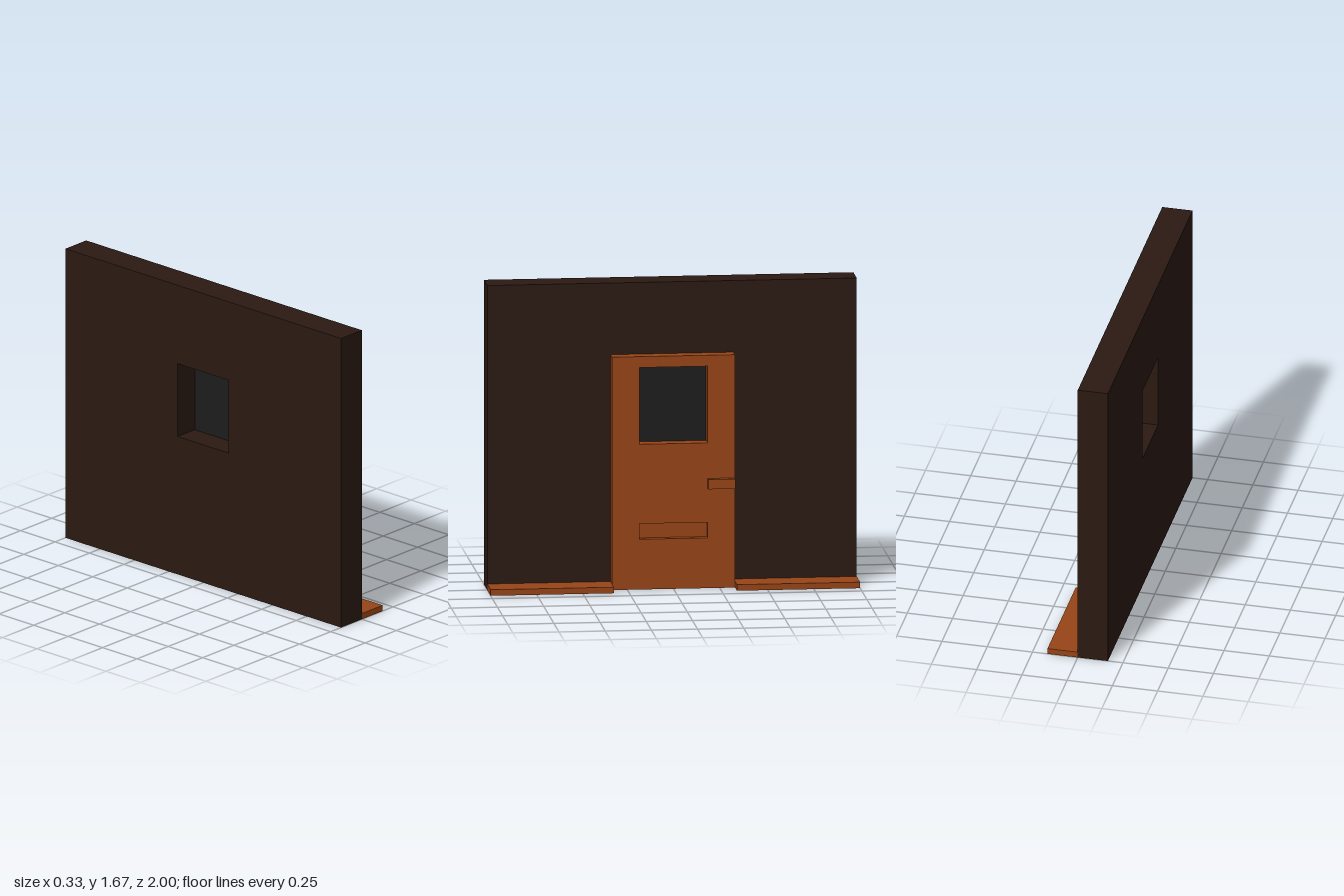
import * as THREE from 'three';

const wood = new THREE.MeshStandardMaterial({ color: 0x984416 });
const brick = new THREE.MeshStandardMaterial({ color: 0x2b1a12 });
const glass = new THREE.MeshStandardMaterial({ color: 0x1c1c1c });

// Openings as [half width in z, bottom, top]
const WINDOW = [0.185, 0.795, 1.215];
const SLOT = [0.185, 0.275, 0.36];

function rectangle(target, [half, bottom, top]) {
  target.moveTo(-half, bottom);
  target.lineTo(half, bottom);
  target.lineTo(half, top);
  target.lineTo(-half, top);
  target.closePath();
  return target;
}

// Upright slab between x0 and x1, with openings cut through it
function slab(name, outline, holes, x0, x1, material) {
  const shape = rectangle(new THREE.Shape(), outline);
  shape.holes = holes.map((h) => rectangle(new THREE.Path(), h));
  const geometry = new THREE.ExtrudeGeometry(shape, { depth: x1 - x0, bevelEnabled: false });
  geometry.rotateY(Math.PI / 2);
  geometry.translate(x0, 0, 0);
  const mesh = new THREE.Mesh(geometry, material);
  mesh.name = name;
  return mesh;
}

// Box from its minimum and maximum corners
function block(name, min, max, material) {
  const size = max.map((v, i) => v - min[i]);
  const mesh = new THREE.Mesh(new THREE.BoxGeometry(...size), material);
  mesh.position.set(...max.map((v, i) => (v + min[i]) / 2));
  mesh.name = name;
  return mesh;
}

export function createModel() {
  const model = new THREE.Group();
  model.name = 'doorInWall';

  // Wall, open behind the window
  model.add(slab('wall', [1, 0, 1.667], [WINDOW], -0.167, 0, brick));

  // Door leaf with window opening and recessed letter slot
  const door = new THREE.Group();
  door.name = 'door';
  door.add(
    slab('doorLeaf', [0.333, 0, 1.275], [WINDOW, SLOT], 0, 0.075, wood),
    slab('letterSlotBack', SLOT, [], 0, 0.035, wood),
    slab('windowPane', WINDOW, [], -0.03, 0, glass),
    block('handle', [0.075, 0.547, -0.333], [0.108, 0.6, -0.185], wood)
  );
  model.add(door);

  // Skirting ledges on both sides of the door
  model.add(
    block('ledgeLeft', [0, 0, -1], [0.167, 0.033, -0.333], wood),
    block('ledgeRight', [0, 0, 0.333], [0.167, 0.033, 1], wood)
  );
  return model;
}
